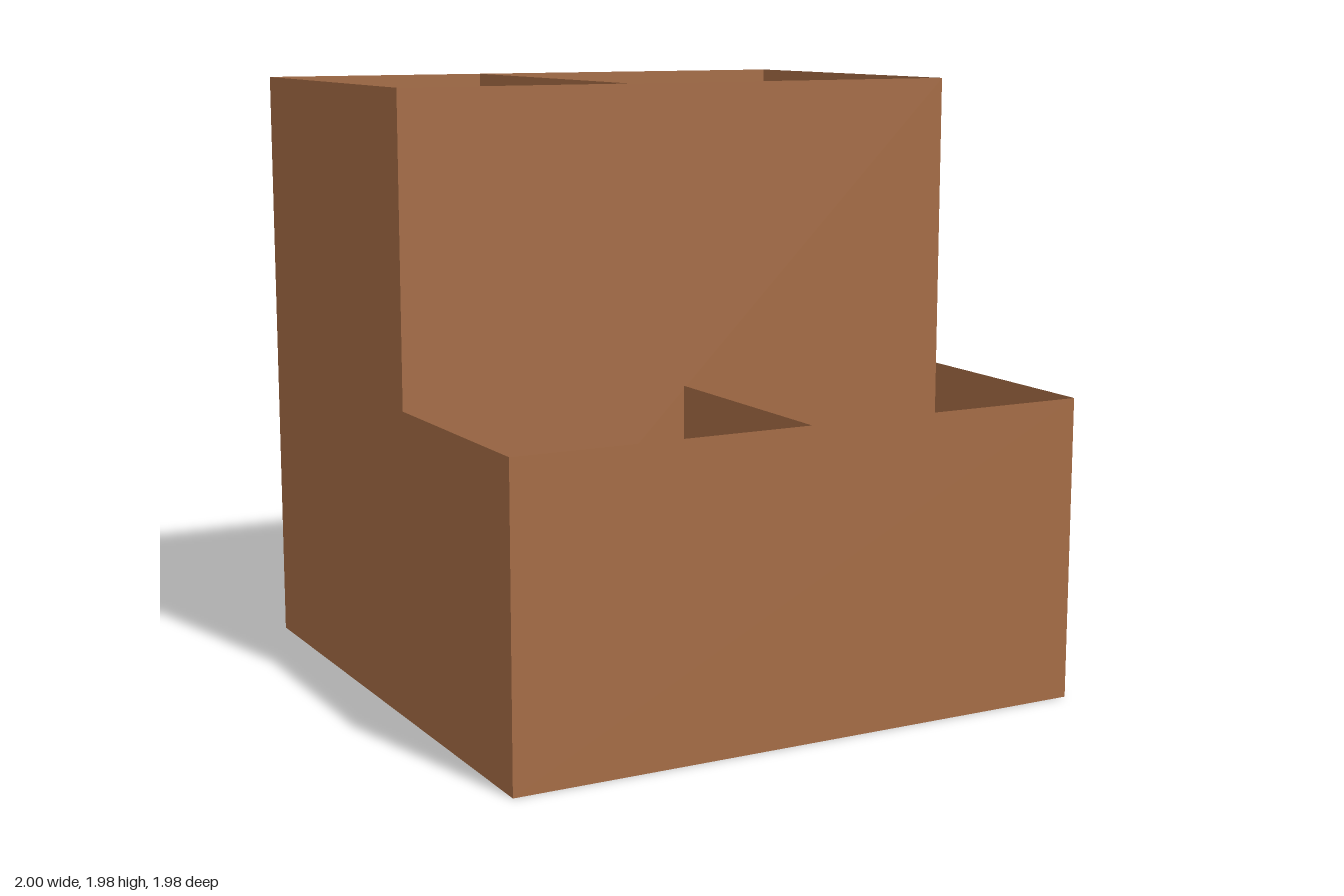
import * as THREE from 'three';

export function createModel() {
  const group = new THREE.Group();
  group.name = 'steppedOrganizer';
  const cardboard = new THREE.MeshStandardMaterial({ color: 0xa56c45, side: THREE.DoubleSide });
  cardboard.name = 'cardboard brown';

  const LOW = 0.99, HIGH = 1.98;
  const BACK = -0.99, STEP = 0.2, FRONT = 0.99;
  const LEFT = 1, RIGHT = -1, LEFT_FRONT = 0.975;

  function add(name, geometry) {
    const mesh = new THREE.Mesh(geometry, cardboard);
    mesh.name = name;
    group.add(mesh);
    return mesh;
  }

  // Thin upright sheet standing on the floor between two plan points [x, z]
  function wall(name, [x0, z0], [x1, z1], height) {
    const dx = x1 - x0, dz = z1 - z0;
    const mesh = add(name, new THREE.PlaneGeometry(Math.hypot(dx, dz), height));
    mesh.position.set((x0 + x1) / 2, height / 2, (z0 + z1) / 2);
    mesh.rotation.y = Math.atan2(-dz, dx);
  }

  // Tall rear bin
  wall('backWall', [LEFT, BACK], [RIGHT, BACK], HIGH);
  wall('middleWall', [RIGHT, STEP], [LEFT, STEP], HIGH);
  wall('rearRightWall', [RIGHT, BACK], [RIGHT, STEP], HIGH);
  wall('rearLeftWall', [LEFT, STEP], [LEFT, BACK], HIGH);
  wall('rearDivider', [-0.205, BACK], [-0.205, STEP], HIGH);

  // Low front bin, its left side tapering slightly inward
  wall('frontWall', [RIGHT, FRONT], [LEFT_FRONT, FRONT], LOW);
  wall('frontRightWall', [RIGHT, STEP], [RIGHT, FRONT], LOW);
  wall('frontLeftWall', [LEFT_FRONT, FRONT], [LEFT, STEP], LOW);
  wall('frontDivider', [-0.01, STEP], [-0.01, FRONT], LOW);

  // Floor following the plan outline
  const outline = [[RIGHT, BACK], [LEFT, BACK], [LEFT, STEP], [LEFT_FRONT, FRONT], [RIGHT, FRONT]];
  const shape = new THREE.Shape(outline.map(([x, z]) => new THREE.Vector2(x, z)));
  add('floor', new THREE.ShapeGeometry(shape).rotateX(Math.PI / 2));

  return group;
}
